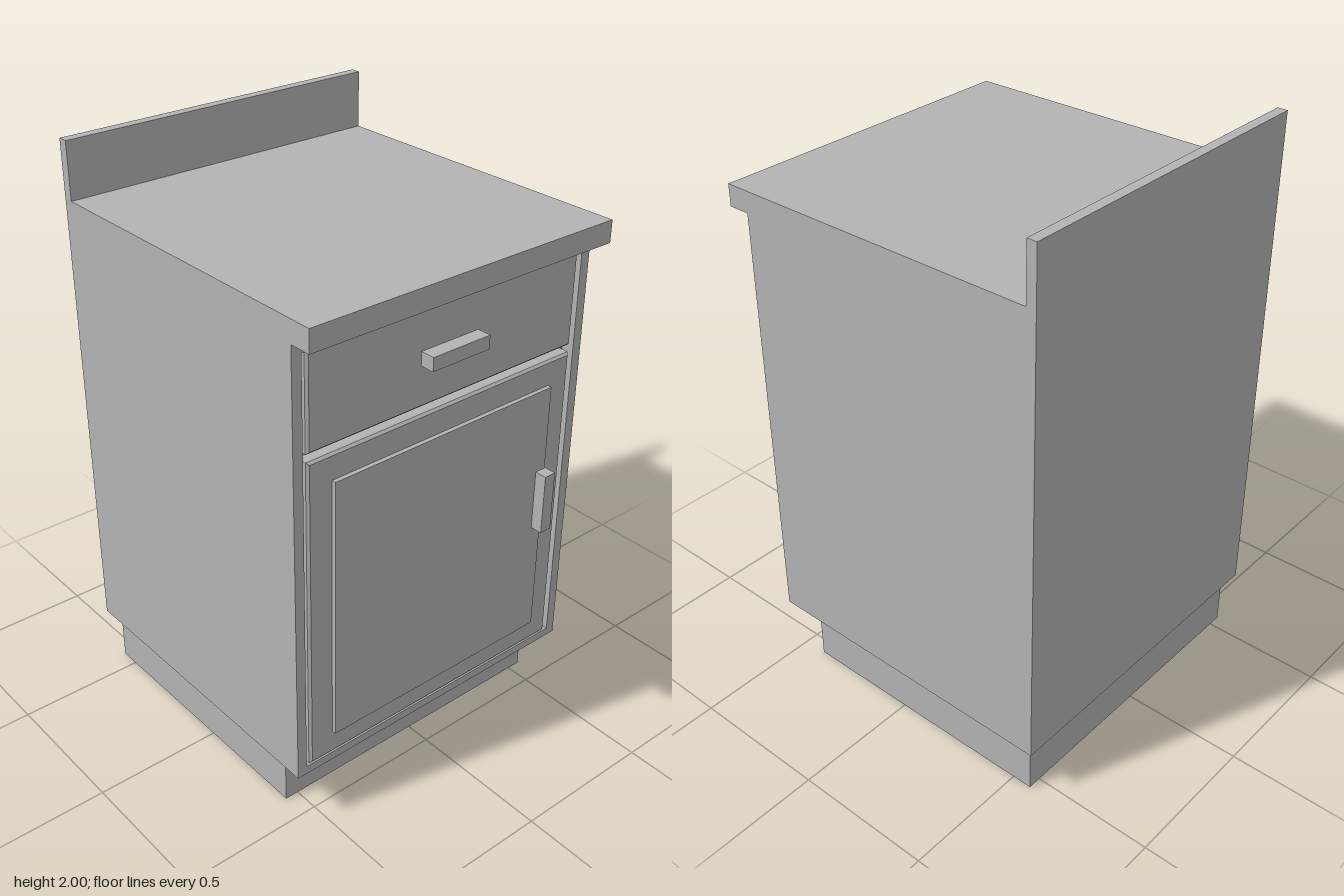
import * as THREE from 'three';

export function createModel() {
  const model = new THREE.Group();
  model.name = 'baseCabinet';
  const grey = new THREE.MeshStandardMaterial({ color: 0xb3b3b3 });
  grey.name = 'light grey';
  const greyTwoSided = grey.clone();
  greyTwoSided.side = THREE.DoubleSide;

  const add = (name, geometry, material = grey) => {
    const mesh = new THREE.Mesh(geometry, material);
    mesh.name = name;
    model.add(mesh);
    return mesh;
  };

  // Axis-aligned block from its limits
  const block = (name, x0, x1, y0, y1, z0, z1) =>
    add(name, new THREE.BoxGeometry(x1 - x0, y1 - y0, z1 - z0))
      .position.set((x0 + x1) / 2, (y0 + y1) / 2, (z0 + z1) / 2);

  const rectPoints = (x0, x1, y0, y1) => [
    new THREE.Vector2(x0, y0), new THREE.Vector2(x1, y0),
    new THREE.Vector2(x1, y1), new THREE.Vector2(x0, y1),
  ];

  const halfWidth = 0.588, back = -0.605, front = 0.53, recess = 0.485;

  // Carcass, countertop and backsplash: one side profile (z, y) swept across the width
  const profile = new THREE.Shape([
    [back, 0.2], [recess, 0.2], [recess, 1.73], [0.607, 1.73],
    [0.607, 1.805], [-0.57, 1.805], [-0.57, 2], [back, 2],
  ].map(([z, y]) => new THREE.Vector2(z, y)));
  const carcass = new THREE.ExtrudeGeometry(profile, { depth: 2 * halfWidth, bevelEnabled: false });
  carcass.rotateY(-Math.PI / 2).translate(halfWidth, 0, 0);
  add('carcassAndCountertop', carcass);

  // Face frame with a single opening
  const frame = new THREE.Shape(rectPoints(-halfWidth, halfWidth, 0.2, 1.73));
  frame.holes.push(new THREE.Path(rectPoints(-0.553, 0.553, 0.23, 1.693).reverse()));
  add('faceFrame', new THREE.ExtrudeGeometry(frame, { depth: front - recess, bevelEnabled: false }))
    .position.z = recess;

  // Drawer front and door with chamfered edges, set into the opening
  const chamfer = 0.008;
  const chamferedPanel = (name, y0, y1) => {
    const geometry = new THREE.ExtrudeGeometry(new THREE.Shape(rectPoints(-0.538, 0.538, y0, y1)), {
      depth: 0.05, bevelSize: chamfer, bevelThickness: chamfer, bevelOffset: -chamfer, bevelSegments: 1,
    });
    add(name, geometry).position.z = front - 0.05 - chamfer;
  };
  chamferedPanel('drawerFront', 1.37, 1.693);
  chamferedPanel('door', 0.23, 1.344);

  // Raised centre of the door
  block('doorRaisedPanel', -0.448, 0.448, 0.317, 1.255, 0.52, 0.545);

  // Bar handles
  block('drawerHandle', -0.114, 0.114, 1.51, 1.557, 0.52, 0.58);
  block('doorHandle', 0.407, 0.452, 0.735, 0.953, 0.52, 0.588);

  // Hollow plinth: four thin walls, open underneath
  const plinth = new THREE.Group();
  plinth.name = 'plinth';
  const px = 0.548, pz0 = -0.57, pz1 = 0.412, midZ = (pz0 + pz1) / 2;
  const wall = (name, width, x, z, turn) => {
    const mesh = new THREE.Mesh(new THREE.PlaneGeometry(width, 0.2), greyTwoSided);
    mesh.name = name;
    mesh.position.set(x, 0.1, z);
    mesh.rotation.y = turn;
    plinth.add(mesh);
  };
  wall('plinthFront', 2 * px, 0, pz1, 0);
  wall('plinthBack', 2 * px, 0, pz0, Math.PI);
  wall('plinthLeft', pz1 - pz0, px, midZ, Math.PI / 2);
  wall('plinthRight', pz1 - pz0, -px, midZ, -Math.PI / 2);
  model.add(plinth);

  return model;
}
